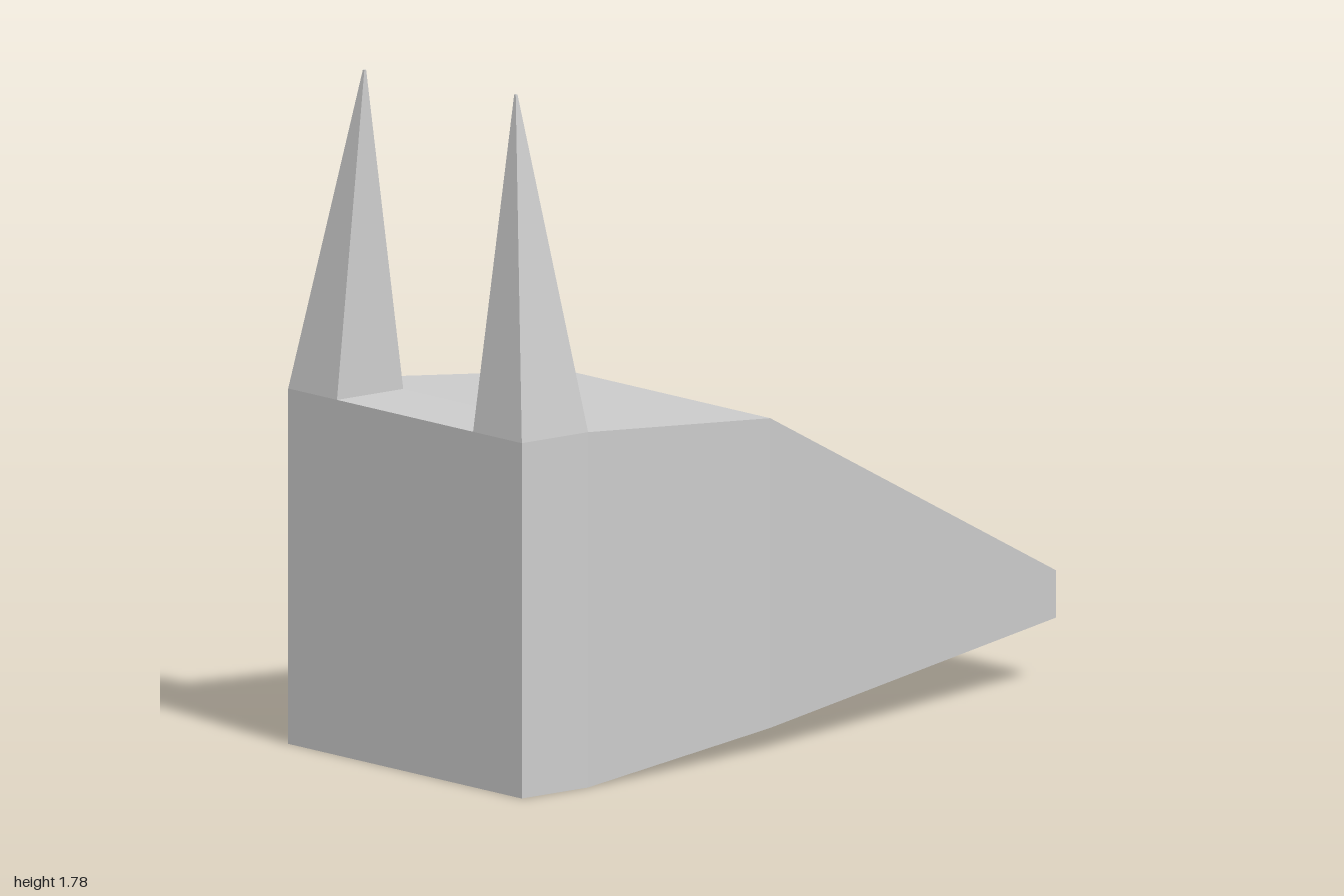
import * as THREE from 'three';

// Joins four-cornered rings into a faceted solid; corners run counter-clockwise seen from the last ring's end
function loft(name, rings, capStart) {
  const pos = [];
  const quad = (a, b, c, d) => pos.push(...a, ...b, ...c, ...a, ...c, ...d);
  for (let i = 0; i < rings.length - 1; i++) {
    for (let j = 0; j < 4; j++) {
      const k = (j + 1) % 4;
      quad(rings[i][j], rings[i][k], rings[i + 1][k], rings[i + 1][j]);
    }
  }
  const [a, b, c, d] = rings[0];
  if (capStart) quad(d, c, b, a);
  quad(...rings[rings.length - 1]);

  const geometry = new THREE.BufferGeometry();
  geometry.setAttribute('position', new THREE.Float32BufferAttribute(pos, 3));
  geometry.computeVertexNormals();
  const material = new THREE.MeshStandardMaterial({ color: 0xcccccc, flatShading: true });
  const mesh = new THREE.Mesh(geometry, material);
  mesh.name = name;
  return mesh;
}

// Upright cross-section of the head
const section = (x, low, high, half) => [
  [x, low, half], [x, low, -half], [x, high, -half], [x, high, half],
];

// Level cross-section of an ear
const level = (y, x0, x1, z0, z1) => [
  [x0, y, z1], [x1, y, z1], [x1, y, z0], [x0, y, z0],
];

export function createModel() {
  const group = new THREE.Group();
  group.name = 'animalHead';

  // Head tapering from the square back to the narrow snout
  group.add(loft('head', [
    section(-1, 0, 0.92, 0.46),
    section(-0.78, 0, 0.92, 0.46),
    section(-0.125, 0.06, 0.862, 0.4),
    section(1, 0.167, 0.29, 0.19),
  ], true));

  // Pointed ears, rising from the back corners with their tips near the inner edge
  const ears = [
    { name: 'earFront', z0: 0.268, z1: 0.46, tipZ: 0.306, tipY: 1.785 },
    { name: 'earBack', z0: -0.46, z1: -0.268, tipZ: -0.29, tipY: 1.757 },
  ];
  const t = 0.003;
  for (const { name, z0, z1, tipZ, tipY } of ears) {
    group.add(loft(name, [
      level(0.92, -1, -0.78, z0, z1),
      level(tipY, -0.89 - t, -0.89 + t, tipZ - t, tipZ + t),
    ], false));
  }
  return group;
}
